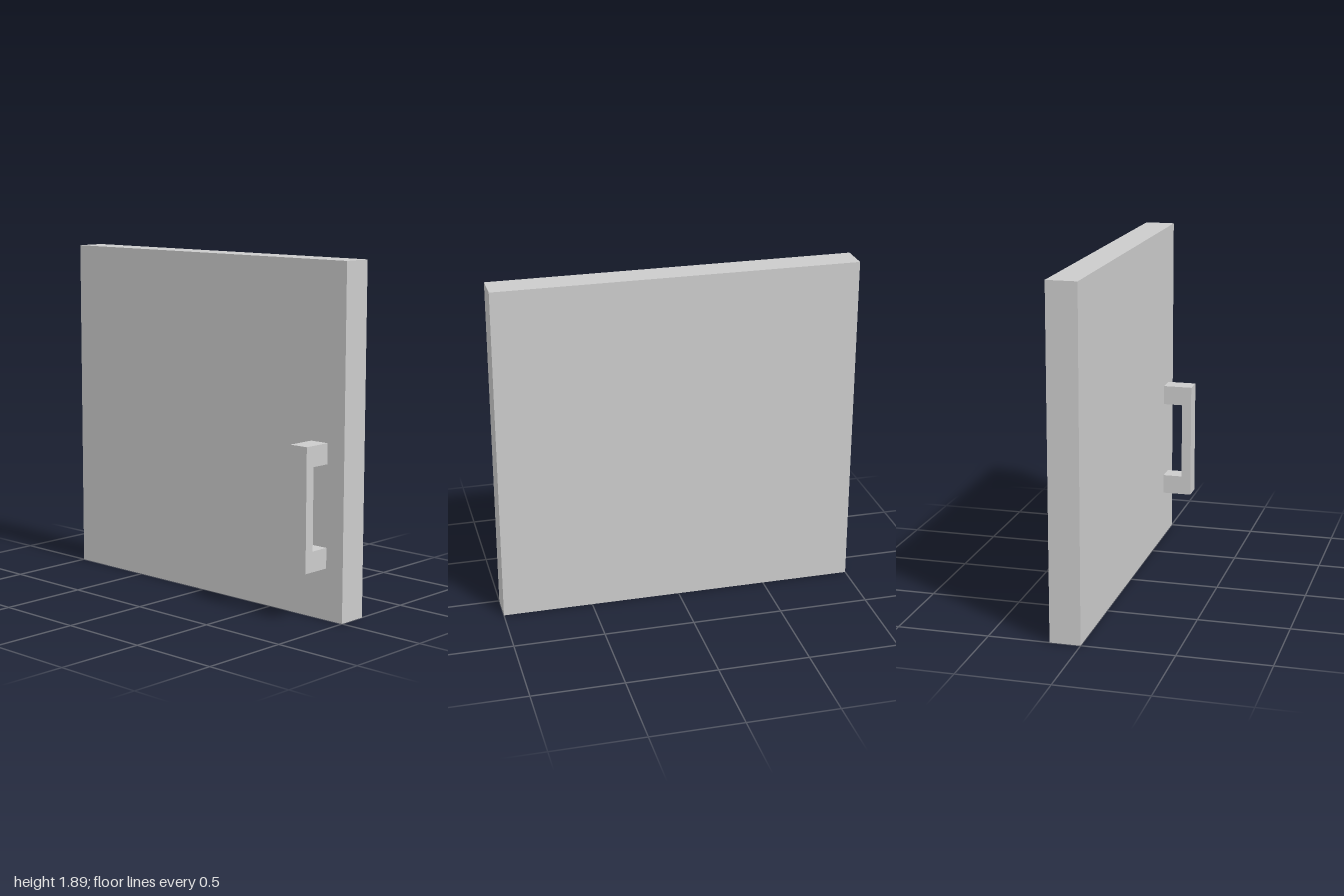
import * as THREE from 'three';

// The whole model sits on a grid of 18 cells per unit
const U = 1 / 18;

export function createModel() {
  const group = new THREE.Group();
  const material = new THREE.MeshStandardMaterial({ color: 0xcccccc, flatShading: true });

  // Door panel, with its front face on z = 0
  const panel = new THREE.Mesh(new THREE.BoxGeometry(36 * U, 34 * U, 3 * U), material);
  panel.name = 'doorPanel';
  panel.position.set(0, 17 * U, -1.5 * U);
  group.add(panel);

  // Handle: a C-shaped side profile (outward, up), extruded across its width
  const profile = new THREE.Shape(
    [[0, 0], [3, 0], [3, 12], [0, 12], [0, 10], [2, 10], [2, 2], [0, 2]]
      .map(([out, up]) => new THREE.Vector2(out * U, up * U))
  );
  const handle = new THREE.Mesh(
    new THREE.ExtrudeGeometry(profile, { depth: 2 * U, bevelEnabled: false }),
    material
  );
  handle.name = 'handle';
  handle.rotation.y = -Math.PI / 2;
  handle.position.set(16 * U, 5 * U, 0);
  group.add(handle);

  return group;
}
